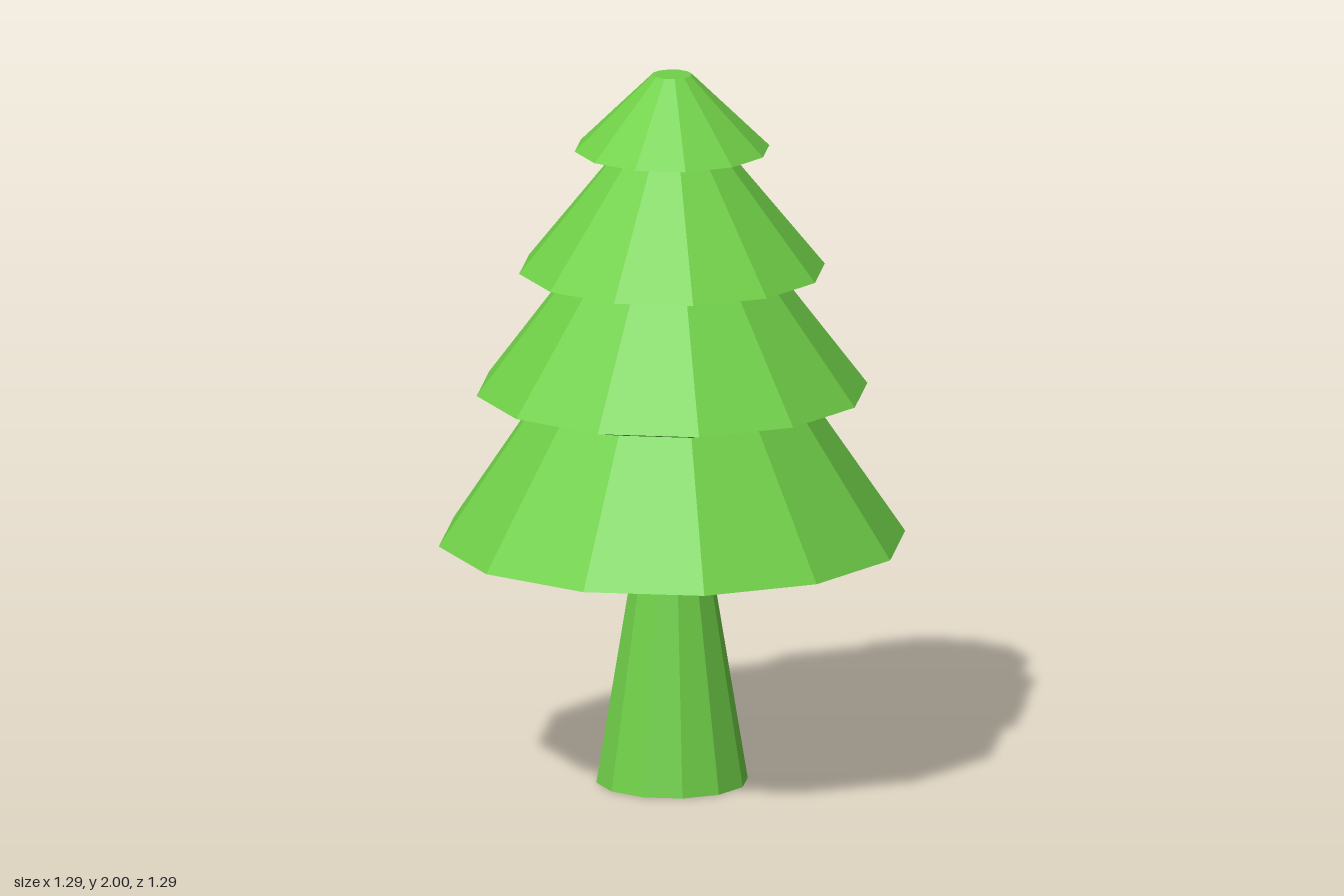
import * as THREE from 'three';

const SIDES = 12;

export function createModel() {
  const tree = new THREE.Group();
  tree.name = 'tree';
  const green = new THREE.MeshStandardMaterial({ color: 0x70d048, flatShading: true });

  // Faceted ring of surface from a profile of [radius, height], bottom to top
  const addPart = (name, profile) => {
    const points = profile.map(([r, y]) => new THREE.Vector2(r, y));
    const mesh = new THREE.Mesh(new THREE.LatheGeometry(points, SIDES), green);
    mesh.name = name;
    tree.add(mesh);
  };

  // Tapered trunk with a closed foot
  addPart('trunk', [[0, 0], [0.21, 0], [0.105, 0.64]]);

  // Branch tiers: underside, flared rim, then slope up to the next tier
  addPart('lowestBranches', [[0.105, 0.64], [0.647, 0.684], [0.388, 1.067]]);
  addPart('lowerBranches', [[0.388, 1.067], [0.542, 1.107], [0.297, 1.43]]);
  addPart('upperBranches', [[0.297, 1.43], [0.424, 1.449], [0.165, 1.768]]);

  // Blunt top with a small flat cap
  addPart('treeTop', [[0.165, 1.768], [0.27, 1.79], [0.055, 2], [0, 2]]);

  return tree;
}
